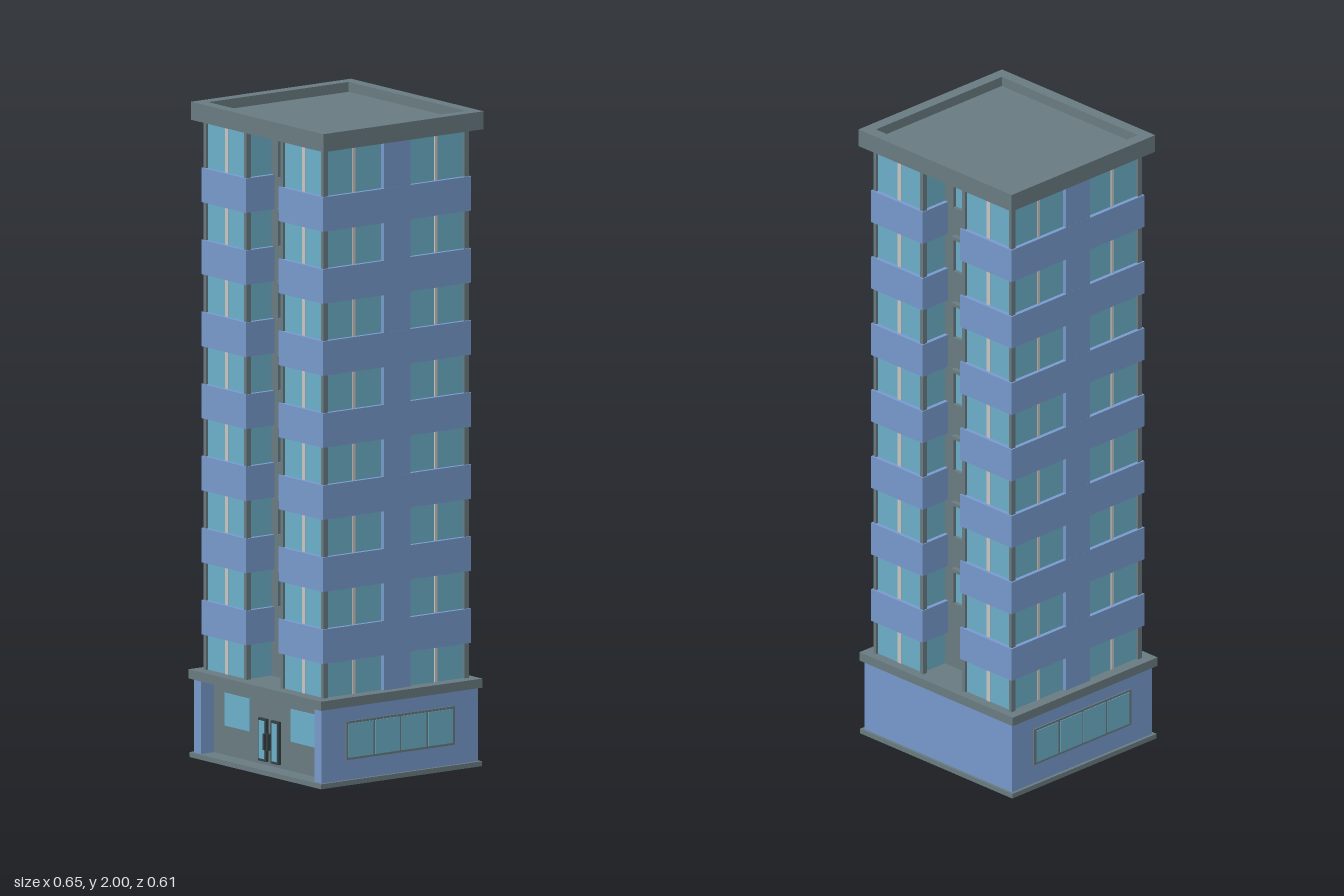
import * as THREE from 'three';

const mat = (name, color) => {
  const m = new THREE.MeshStandardMaterial({ color });
  m.name = name;
  return m;
};

export function createModel() {
  const blue = mat('blue cladding', 0x7799cc);
  const grey = mat('grey concrete', 0x687b80);
  const glass = mat('window glass', 0x6cafc9);
  const pale = mat('pale mullion', 0xc8c5c2);
  const dark = mat('dark metal', 0x353f43);

  const model = new THREE.Group();
  model.name = 'towerBlock';
  const group = (name, parent = model) => {
    const g = new THREE.Group();
    g.name = name;
    parent.add(g);
    return g;
  };
  // box given by its ranges along x, y and z
  const box = (parent, name, m, [x0, x1], [y0, y1], [z0, z1]) => {
    const mesh = new THREE.Mesh(new THREE.BoxGeometry(x1 - x0, y1 - y0, z1 - z0), m);
    mesh.position.set((x0 + x1) / 2, (y0 + y1) / 2, (z0 + z1) / 2);
    mesh.name = name;
    parent.add(mesh);
    return mesh;
  };
  // mirrored range: [a, b] or [-b, -a]
  const side = (s, a, b) => (s > 0 ? [a, b] : [-b, -a]);
  // plan outline extruded upwards
  const slab = (parent, name, m, shape, y0, y1) => {
    const geo = new THREE.ExtrudeGeometry(shape, { depth: y1 - y0, bevelEnabled: false });
    geo.rotateX(-Math.PI / 2);
    const mesh = new THREE.Mesh(geo, m);
    mesh.position.y = y0;
    mesh.name = name;
    parent.add(mesh);
    return mesh;
  };
  const outline = (pts) => new THREE.Shape(pts.map(([x, y]) => new THREE.Vector2(x, y)));
  // H-shaped plan with a notch in the front and back
  const hPlan = (w, d, notch, back) => outline([
    [-w, -d], [-notch, -d], [-notch, -back], [notch, -back], [notch, -d], [w, -d],
    [w, d], [notch, d], [notch, back], [-notch, back], [-notch, d], [-w, d],
  ]);

  // ground floor
  const ground = group('groundFloor');
  box(ground, 'basePlate', grey, [-0.325, 0.325], [0, 0.015], [-0.303, 0.305]);
  box(ground, 'groundBody', blue, [-0.315, 0.315], [0.015, 0.24], [-0.295, 0.24]);
  box(ground, 'entranceWall', grey, [-0.28, 0.28], [0.015, 0.24], [0.238, 0.246]);
  box(ground, 'cornice', grey, [-0.327, 0.327], [0.24, 0.268], [-0.303, 0.307]);
  for (const s of [1, -1]) {
    box(ground, 'entrancePier', blue, side(s, 0.28, 0.315), [0.015, 0.24], [0.239, 0.295]);
    box(ground, 'shopWindow', glass, side(s, 0.1, 0.225), [0.105, 0.205], [0.244, 0.249]);
    box(ground, 'doorLeaf', dark, side(s, 0.011, 0.05), [0.026, 0.157], [0.24, 0.256]);
    box(ground, 'doorGlass', glass, side(s, 0.018, 0.044), [0.034, 0.15], [0.252, 0.258]);
    box(ground, 'doorHandle', dark, side(s, 0.004, 0.012), [0.065, 0.115], [0.25, 0.268]);
    // four-pane side window
    box(ground, 'sideWindowFrame', grey, side(s, 0.31, 0.319), [0.076, 0.194], [-0.205, 0.205]);
    for (let i = 0; i < 4; i++) {
      const z = -0.15 + i * 0.1;
      box(ground, 'sideWindowPane', glass, side(s, 0.316, 0.321), [0.083, 0.187], [z - 0.046, z + 0.046]);
    }
  }

  // tower: grey core, blue floor bands
  const tower = group('tower');
  tower.position.set(-0.002, 0, -0.003);
  slab(tower, 'towerCore', grey, hPlan(0.284, 0.264, 0.096, 0.172), 0.268, 1.946);
  for (let i = 0; i < 7; i++) {
    const y = 0.375 + i * 0.22;
    slab(tower, 'floorBand', blue, hPlan(0.3, 0.28, 0.08, 0.168), y, y + 0.105);
  }

  for (const s of [1, -1]) {
    box(tower, 'sideStrip', blue, side(s, 0.28, 0.2998), [0.268, 1.946], [-0.05, 0.05]);
    box(tower, 'recessWall', grey, [-0.098, 0.098], [0.268, 1.946], side(s, 0.16, 0.173));
    for (const t of [1, -1]) {
      box(tower, 'outerPost', grey, side(s, 0.284, 0.295), [0.268, 1.946], side(t, 0.262, 0.275));
      box(tower, 'outerPostReturn', grey, side(s, 0.284, 0.295), [0.268, 1.946], side(t, 0.258, 0.264));
      box(tower, 'innerPost', grey, side(s, 0.083, 0.096), [0.268, 1.946], side(t, 0.259, 0.275));
    }
  }

  // window rows on the four wing corners
  const windows = group('wingWindows', tower);
  for (let i = 0; i < 8; i++) {
    const y = [i ? 0.26 + i * 0.22 : 0.268, i === 7 ? 1.945 : 0.375 + i * 0.22];
    for (const s of [1, -1]) {
      for (const t of [1, -1]) {
        box(windows, 'frontGlass', glass, side(s, 0.096, 0.284), y, side(t, 0.262, 0.267));
        box(windows, 'frontMullion', pale, side(s, 0.183, 0.197), y, side(t, 0.262, 0.27));
        box(windows, 'sideGlass', glass, side(s, 0.282, 0.287), y, side(t, 0.05, 0.259));
        box(windows, 'sideMullion', pale, side(s, 0.282, 0.29), y, side(t, 0.15, 0.161));
        box(windows, 'recessGlass', glass, side(s, 0.093, 0.098), y, side(t, 0.173, 0.259));
      }
    }
  }

  // twin-pane stair windows in the recesses
  const stairs = group('stairWindows', tower);
  for (let i = 0; i < 7; i++) {
    const y0 = 0.48 + i * 0.22 - (i === 6 ? 0.01 : 0);
    const y1 = i === 6 ? 1.922 : y0 + 0.122;
    for (const t of [1, -1]) {
      box(stairs, 'frameTop', grey, [-0.05, 0.05], [y1 - 0.01, y1], side(t, 0.17, 0.19));
      box(stairs, 'frameSill', grey, [-0.05, 0.05], [y0, y0 + 0.01], side(t, 0.17, 0.19));
      box(stairs, 'frameCentre', grey, [-0.005, 0.005], [y0, y1], side(t, 0.17, 0.185));
      for (const s of [1, -1]) {
        box(stairs, 'frameSide', grey, side(s, 0.04, 0.05), [y0, y1], side(t, 0.17, 0.19));
        box(stairs, 'stairGlass', glass, side(s, 0.005, 0.04), [y0 + 0.01, y1 - 0.01], side(t, 0.172, 0.178));
      }
    }
  }

  // flat roof with a raised parapet
  const roof = group('roof');
  const rect = (w, d) => [[-w, -d], [w, -d], [w, d], [-w, d]];
  const ring = outline(rect(0.327, 0.3025));
  ring.holes.push(outline(rect(0.29, 0.265)));
  slab(roof, 'parapet', grey, ring, 1.945, 2);
  box(roof, 'roofDeck', grey, [-0.291, 0.291], [1.945, 1.97], [-0.266, 0.266]);
  roof.position.z = -0.005;

  return model;
}
